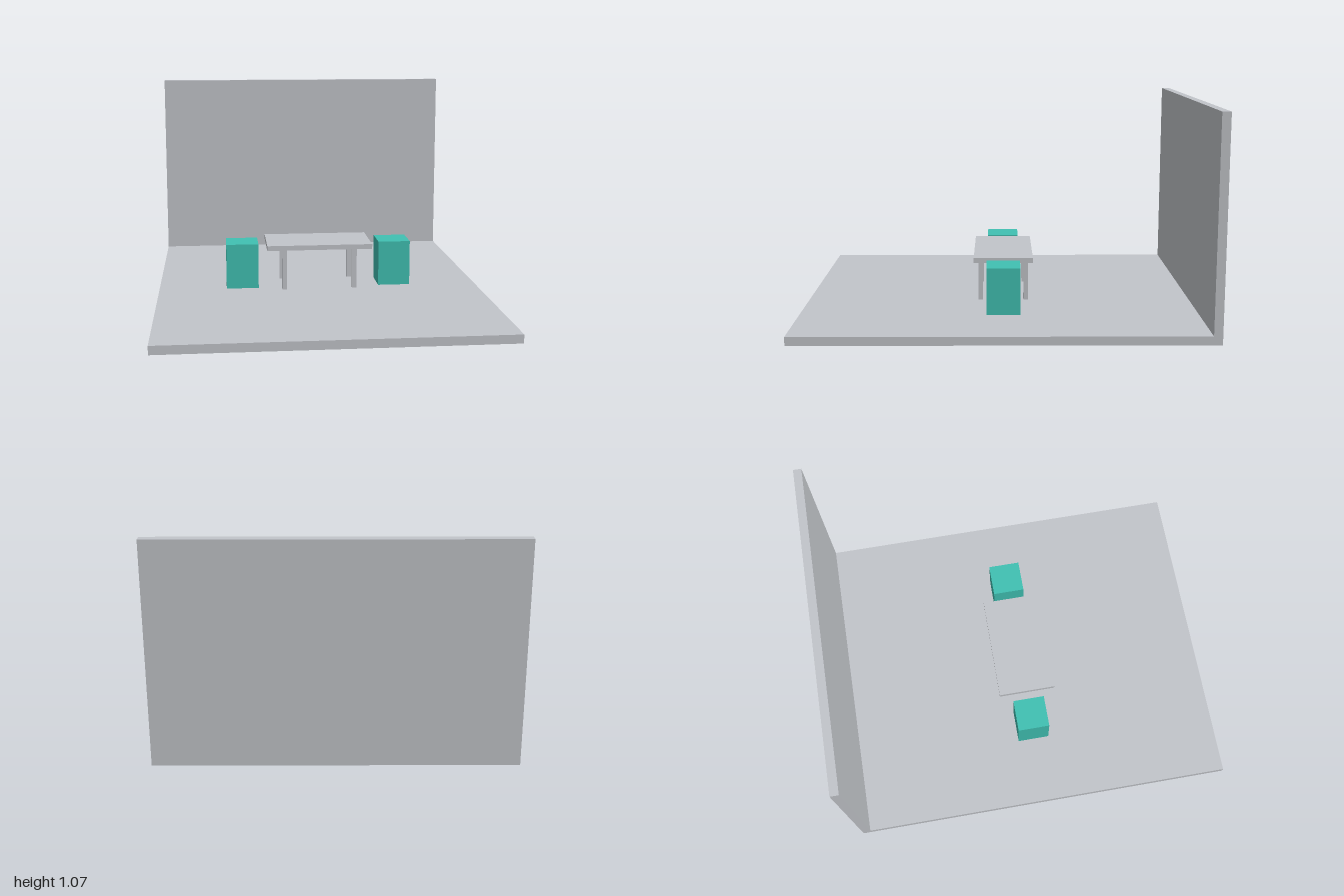
import * as THREE from 'three';

export function createModel() {
  const model = new THREE.Group();
  model.name = 'roomWithTable';

  const grey = new THREE.MeshStandardMaterial({ color: 0xc2c5ca });
  grey.name = 'light grey';
  const teal = new THREE.MeshStandardMaterial({ color: 0x41c1b3 });
  teal.name = 'teal';

  // Box given by its size and the position of its base centre
  function box(name, material, [w, h, d], [x, y, z], parent = model) {
    const mesh = new THREE.Mesh(new THREE.BoxGeometry(w, h, d), material);
    mesh.name = name;
    mesh.position.set(x, y + h / 2, z);
    parent.add(mesh);
    return mesh;
  }

  const floorTop = 0.042;
  const width = 1.666;
  const wallDepth = 0.042;

  // Floor slab and back wall
  box('floor', grey, [width, floorTop, 2], [0, 0, 0]);
  box('backWall', grey, [width, 1.067 - floorTop, wallDepth], [0, floorTop, -1 + wallDepth / 2]);

  // Table with four square legs
  const table = new THREE.Group();
  table.name = 'table';
  model.add(table);
  const topBase = 0.254;
  box('tableTop', grey, [0.546, 0.025, 0.3], [0, topBase, 0], table);
  for (const sx of [-1, 1]) {
    for (const sz of [-1, 1]) {
      box('tableLeg', grey, [0.024, topBase - floorTop, 0.024], [sx * 0.183, floorTop, sz * 0.116], table);
    }
  }

  // Block seats at both ends of the table
  for (const side of [-1, 1]) {
    box(side > 0 ? 'leftSeat' : 'rightSeat', teal, [0.167, 0.234, 0.167], [side * 0.4, floorTop, 0]);
  }

  return model;
}
